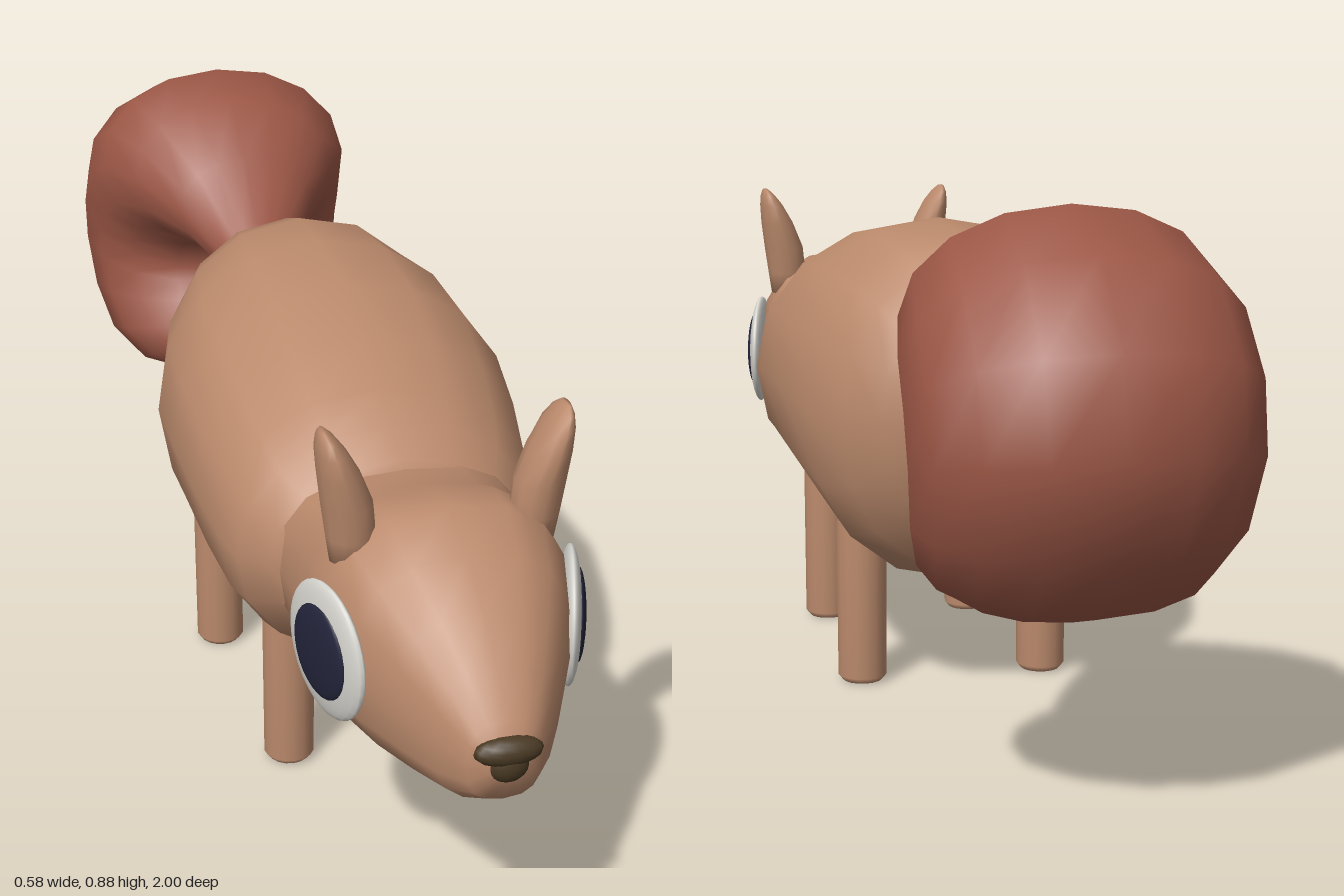
import * as THREE from 'three';

const paint = (name, color) => {
  const m = new THREE.MeshStandardMaterial({ color });
  m.name = name;
  return m;
};

// Loft through oval rings. Each ring: [topZ, topY, bottomZ, bottomY, centreX, halfWidth].
// power below 1 makes the ring boxier.
function loft(rings, sides, power = 1) {
  const pos = [], index = [];
  const soft = (v) => Math.sign(v) * Math.pow(Math.abs(v), power);
  for (const [tz, ty, bz, by, cx, w] of rings) {
    for (let j = 0; j < sides; j++) {
      const a = (j / sides) * Math.PI * 2;
      const u = (soft(Math.sin(a)) + 1) / 2;
      pos.push(cx + w * soft(Math.cos(a)), by + (ty - by) * u, bz + (tz - bz) * u);
    }
  }
  const last = rings.length - 1, pole = rings.length * sides;
  for (const [tz, ty, bz, by, cx] of [rings[0], rings[last]]) pos.push(cx, (ty + by) / 2, (tz + bz) / 2);
  for (let j = 0; j < sides; j++) {
    const k = (j + 1) % sides;
    for (let i = 0; i < last; i++) {
      const p = i * sides, q = p + sides;
      index.push(p + j, q + j, p + k, p + k, q + j, q + k);
    }
    index.push(pole, j, k, pole + 1, last * sides + k, last * sides + j);
  }
  const g = new THREE.BufferGeometry();
  g.setAttribute('position', new THREE.Float32BufferAttribute(pos, 3));
  g.setIndex(index);
  g.computeVertexNormals();
  return g;
}

// Upright ring helper: [z, topY, bottomY, centreX, halfWidth]
const upright = (list) => list.map(([z, t, b, x, w]) => [z, t, z, b, x, w]);

export function createModel() {
  const fur = paint('tan fur', 0xbb8a6c);
  const red = paint('red brown fur', 0x9c5746);
  const white = paint('eye white', 0xd6d4ce);
  const dark = paint('pupil navy', 0x23243a);
  const brown = paint('nose brown', 0x4a3a24);

  const model = new THREE.Group();
  model.name = 'squirrel';
  const add = (name, geometry, material, parent = model) => {
    const mesh = new THREE.Mesh(geometry, material);
    mesh.name = name;
    parent.add(mesh);
    return mesh;
  };

  // Body, chest to rump
  add('body', loft(upright([
    [0.54, 0.59, 0.34, 0.01, 0.17],
    [0.50, 0.62, 0.31, 0.01, 0.205],
    [0.45, 0.655, 0.26, 0.005, 0.238],
    [0.39, 0.69, 0.24, 0.005, 0.255],
    [0.28, 0.73, 0.25, 0.005, 0.273],
    [0.15, 0.765, 0.262, 0.005, 0.285],
    [0.00, 0.787, 0.225, 0.0, 0.278],
    [-0.14, 0.777, 0.19, 0.0, 0.25],
    [-0.23, 0.745, 0.225, -0.005, 0.215],
    [-0.285, 0.68, 0.31, -0.01, 0.165],
    [-0.315, 0.60, 0.39, -0.01, 0.10],
    [-0.327, 0.53, 0.44, -0.01, 0.05],
  ]), 16, 0.94), fur);

  // Head, muzzle to neck
  add('head', loft(upright([
    [0.985, 0.42, 0.37, 0.035, 0.03],
    [0.965, 0.45, 0.325, 0.035, 0.055],
    [0.92, 0.505, 0.297, 0.033, 0.088],
    [0.86, 0.56, 0.287, 0.03, 0.125],
    [0.79, 0.61, 0.28, 0.026, 0.163],
    [0.71, 0.648, 0.272, 0.022, 0.188],
    [0.64, 0.645, 0.277, 0.019, 0.195],
    [0.57, 0.615, 0.30, 0.016, 0.188],
    [0.50, 0.61, 0.32, 0.012, 0.195],
    [0.44, 0.60, 0.33, 0.01, 0.19],
  ]), 16, 0.78), fur);

  // Bushy curling tail: rings fan round the bend
  add('tail', loft([
    [-0.28, 0.62, -0.28, 0.52, -0.02, 0.055],
    [-0.40, 0.675, -0.385, 0.555, -0.022, 0.065],
    [-0.50, 0.77, -0.47, 0.585, -0.025, 0.125],
    [-0.60, 0.85, -0.55, 0.58, -0.03, 0.19],
    [-0.71, 0.88, -0.59, 0.56, -0.035, 0.235],
    [-0.85, 0.825, -0.60, 0.53, -0.037, 0.252],
    [-0.96, 0.71, -0.60, 0.51, -0.037, 0.255],
    [-1.00, 0.57, -0.59, 0.49, -0.037, 0.252],
    [-0.95, 0.42, -0.57, 0.46, -0.037, 0.242],
    [-0.85, 0.32, -0.54, 0.42, -0.037, 0.22],
    [-0.72, 0.278, -0.527, 0.38, -0.037, 0.17],
    [-0.62, 0.29, -0.55, 0.335, -0.037, 0.09],
  ], 16, 0.95), red);

  // Ears: [y, halfDepth, centre x, halfWidth], mirrored about the head's middle
  const earRings = [
    [0.57, 0.032, 0.135, 0.034], [0.61, 0.038, 0.138, 0.037], [0.66, 0.043, 0.144, 0.038],
    [0.71, 0.047, 0.157, 0.031], [0.745, 0.043, 0.168, 0.022], [0.765, 0.032, 0.175, 0.013],
    [0.776, 0.016, 0.179, 0.005],
  ];
  // Eyes, legs and ears come in pairs
  for (const [side, s] of [['left', 1], ['right', -1]]) {
    const earZ = s > 0 ? 0.675 : 0.687;
    add(side + 'Ear', loft(earRings.map(([y, d, x, w]) =>
      [earZ + d, y, earZ - d, y, 0.024 + s * x, w]), 12), fur);

    const eye = new THREE.Group();
    eye.name = side + 'Eye';
    eye.position.set(0.026 + s * 0.184, 0.45, s > 0 ? 0.715 : 0.73);
    eye.rotation.y = s * (Math.PI / 2 - 0.28);
    model.add(eye);
    add('eyeWhite', new THREE.SphereGeometry(0.105, 24, 16), white, eye).scale.z = 0.17;
    const pupil = add('pupil', new THREE.SphereGeometry(0.072, 24, 16), dark, eye);
    pupil.scale.z = 0.17;
    pupil.position.z = 0.012;

    // Legs with slightly rounded ends
    const profile = [[0, 0], [0.034, 0.002], [0.042, 0.012], [0.043, 0.28], [0.034, 0.3], [0, 0.305]];
    const legShape = new THREE.LatheGeometry(profile.map(([x, y]) => new THREE.Vector2(x, y)), 16);
    add(side + 'FrontLeg', legShape, fur).position.set(s > 0 ? 0.143 : -0.126, 0, 0.323);
    add(side + 'BackLeg', legShape, fur).position.set(s > 0 ? 0.15 : -0.166, 0, -0.077);
  }

  // Nose: wide top with a narrow lower lobe
  const nose = new THREE.Group();
  nose.name = 'nose';
  nose.position.set(0.035, 0.4, 0.978);
  model.add(nose);
  const bridge = add('noseTop', new THREE.SphereGeometry(1, 14, 10), brown, nose);
  bridge.scale.set(0.05, 0.022, 0.021);
  bridge.position.y = 0.012;
  const lobe = add('noseTip', new THREE.SphereGeometry(1, 14, 10), brown, nose);
  lobe.scale.set(0.03, 0.028, 0.019);
  lobe.position.y = -0.009;

  // Small crossed mark under the tail
  const mark = new THREE.Group();
  mark.name = 'underTailMark';
  mark.position.set(-0.01, 0.48, -0.327);
  model.add(mark);
  for (const angle of [0.3, 1.35, 2.4]) {
    add('markBar', new THREE.BoxGeometry(0.08, 0.011, 0.012), brown, mark).rotation.z = angle;
  }
  return model;
}
